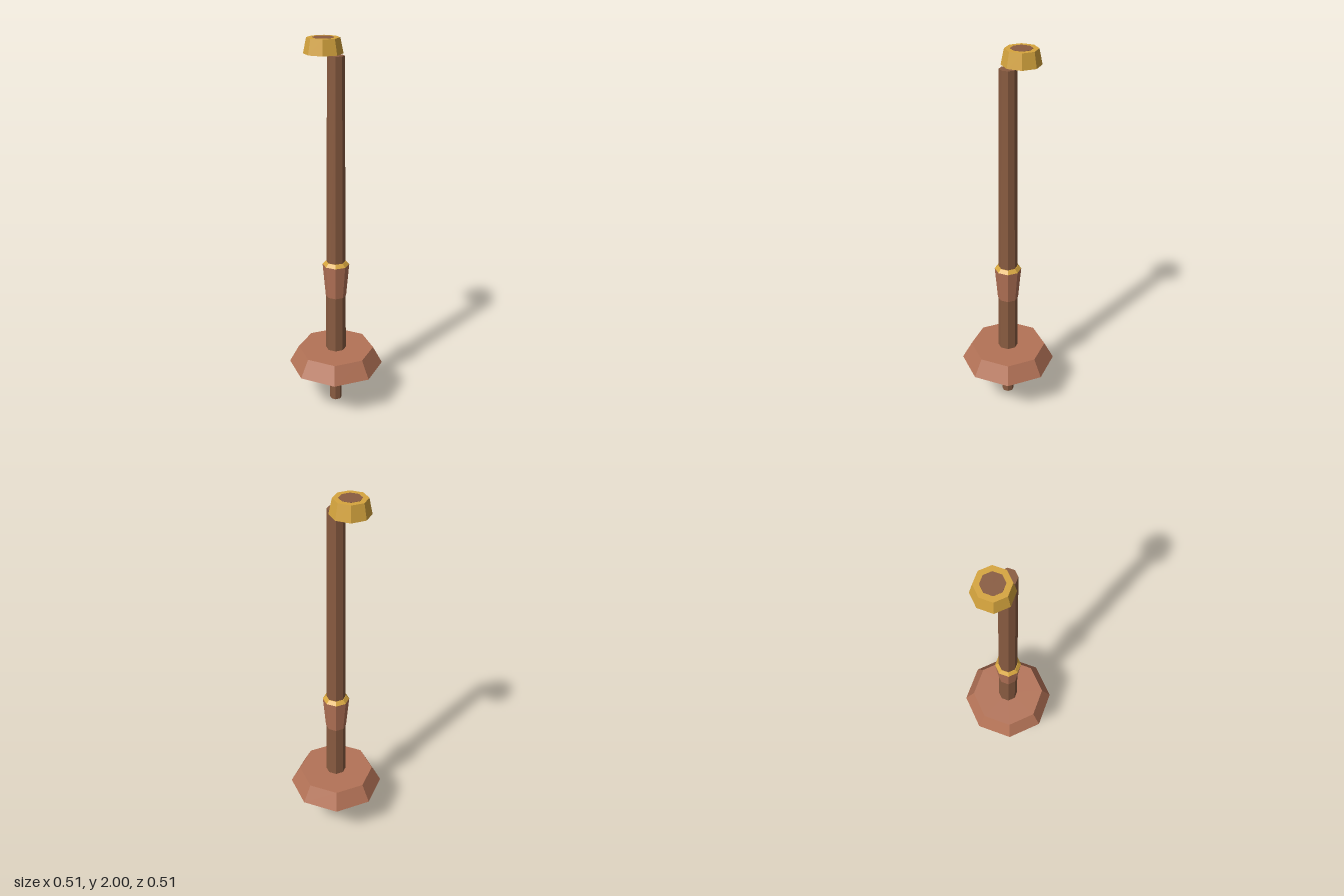
import * as THREE from 'three';

const material = (name, color) => {
  const m = new THREE.MeshStandardMaterial({ color, flatShading: true });
  m.name = name;
  return m;
};

export function createModel() {
  const wood = material('brown wood', 0x8a5c41);
  const copper = material('copper', 0xb47357);
  const gold = material('gold', 0xd6a53e);

  const group = new THREE.Group();
  group.name = 'staff';

  // Eight-sided tapered section between two heights
  const section = (name, mat, y0, y1, r0, r1, z = 0) => {
    const mesh = new THREE.Mesh(new THREE.CylinderGeometry(r1, r0, y1 - y0, 8), mat);
    mesh.name = name;
    mesh.position.set(0, (y0 + y1) / 2, z);
    group.add(mesh);
  };

  // Lower rod, flared guard and long shaft
  section('lowerRod', wood, 0, 0.23, 0.033, 0.033);
  section('guard', copper, 0.23, 0.325, 0.257, 0.206);
  section('shaft', wood, 0.325, 1.922, 0.055, 0.043);

  // Collar with a bevelled gold rim
  section('collar', copper, 0.645, 0.828, 0.055, 0.071);
  section('collarRim', gold, 0.828, 0.846, 0.071, 0.054);

  // Offset cap with a thin wooden inlay
  section('cap', gold, 1.922, 1.999, 0.099, 0.083, -0.09);
  section('capInlay', wood, 1.994, 2, 0.055, 0.055, -0.09);

  return group;
}
